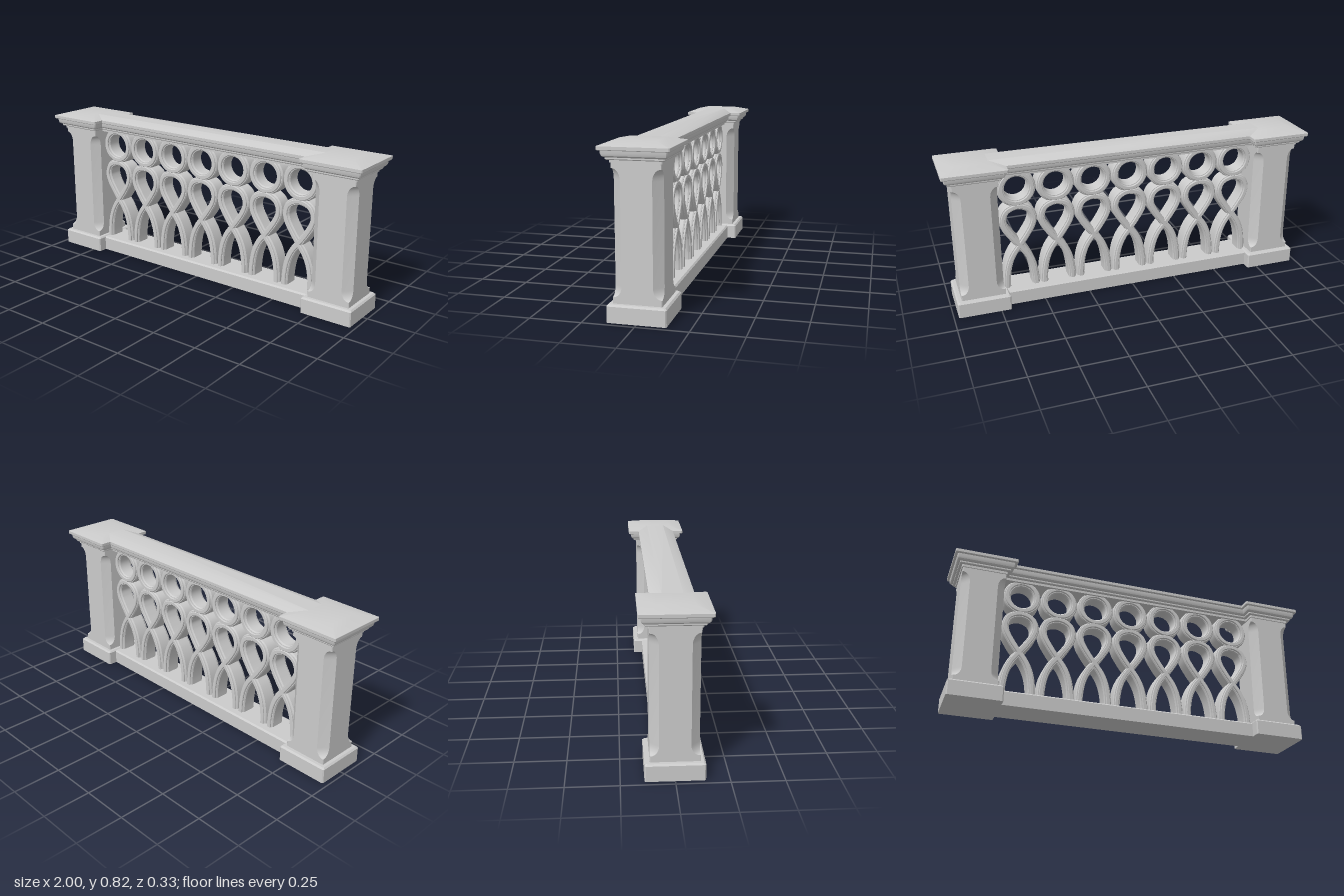
import * as THREE from 'three';
import { toCreasedNormals } from 'three/addons/utils/BufferGeometryUtils.js';

const stone = new THREE.MeshStandardMaterial({ color: 0xcccccc });

function part(name, geometry, parent, x = 0, y = 0) {
  const mesh = new THREE.Mesh(geometry, stone);
  mesh.name = name;
  mesh.position.set(x, y, 0);
  parent.add(mesh);
  return mesh;
}

// Stacks rectangles with cut corners; each level is [y, halfX, halfZ, cut].
function loft(levels) {
  const pos = [], index = [];
  for (const [y, hx, hz, c] of levels) {
    const corners = [
      [hx, hz - c], [hx, c - hz], [hx - c, -hz], [c - hx, -hz],
      [-hx, c - hz], [-hx, hz - c], [c - hx, hz], [hx - c, hz],
    ];
    for (const [x, z] of corners) pos.push(x, y, z);
  }
  const last = (levels.length - 1) * 8;
  for (let r = 0; r < last; r += 8) {
    for (let i = 0; i < 8; i++) {
      const j = (i + 1) % 8;
      index.push(r + i, r + j, r + 8 + j, r + i, r + 8 + j, r + 8 + i);
    }
  }
  for (let i = 1; i < 7; i++) index.push(0, i + 1, i, last, last + i, last + i + 1);
  const g = new THREE.BufferGeometry();
  g.setAttribute('position', new THREE.Float32BufferAttribute(pos, 3));
  g.setIndex(index);
  return toCreasedNormals(g, 0.45);
}

// Sweeps a moulded section along a curve in the xy plane, smooth along its length.
const halfSection = [
  [0.02, -0.034], [0.02, 0.034], [0.015, 0.041], [0.011, 0.041], [0.011, 0.047], [0.008, 0.05],
  [-0.008, 0.05], [-0.011, 0.047], [-0.011, 0.041], [-0.015, 0.041],
];
const section = [
  ...halfSection.slice(1), [-0.02, 0.034],
  ...halfSection.slice(1).map(([u, v]) => [-u, -v]), [0.02, -0.034],
];

function sweep(curve, steps) {
  const pos = [], normals = [], index = [];
  section.forEach((p, k) => {
    const q = section[(k + 1) % section.length];
    const eu = q[0] - p[0], ev = q[1] - p[1], len = Math.hypot(eu, ev);
    const start = pos.length / 3;
    for (let i = 0; i <= steps; i++) {
      const c = curve.getPoint(i / steps), t = curve.getTangent(i / steps);
      for (const [u, v] of [p, q]) {
        pos.push(c.x - t.y * u, c.y + t.x * u, v);
        normals.push(-t.y * ev / len, t.x * ev / len, -eu / len);
      }
      if (i < steps) {
        const a = start + i * 2;
        index.push(a, a + 1, a + 3, a, a + 3, a + 2);
      }
    }
  });
  const g = new THREE.BufferGeometry();
  g.setAttribute('position', new THREE.Float32BufferAttribute(pos, 3));
  g.setAttribute('normal', new THREE.Float32BufferAttribute(normals, 3));
  g.setIndex(index);
  return g;
}

// Shared moulding of post caps and handrail: [y, half width].
const moulding = [
  [0.725, 0.121], [0.738, 0.121], [0.738, 0.132], [0.742, 0.135], [0.749, 0.135],
  [0.751, 0.142], [0.757, 0.148], [0.766, 0.151], [0.782, 0.152], [0.782, 0.163],
  [0.785, 0.165], [0.8, 0.165],
];

function shaftLevels() {
  const levels = [[0.08, 0.115, 0.115, 0.003]], n = 8;
  // Chamfers run out in curved stops at both ends.
  const cut = t => 0.003 + 0.039 * Math.sqrt(1 - (1 - t) ** 2);
  for (let i = 0; i <= n; i++) levels.push([0.115 + 0.05 * (i / n) ** 2, 0.115, 0.115, cut((i / n) ** 2)]);
  for (let i = n; i >= 0; i--) levels.push([0.7 - 0.055 * (i / n) ** 2, 0.115, 0.115, cut((i / n) ** 2)]);
  levels.push([0.735, 0.115, 0.115, 0.003]);
  return levels;
}

export function createModel() {
  const model = new THREE.Group();
  model.name = 'balustrade';

  // End posts
  const baseGeo = loft([[0, 0.14, 0.14, 0.006], [0.077, 0.14, 0.14, 0.006], [0.085, 0.132, 0.132, 0.006]]);
  const shaftGeo = loft(shaftLevels());
  const capGeo = loft([...moulding.map(([y, w]) => [y, w, w, 0.005]), [0.82, 0.085, 0.085, 0.003]]);
  for (const [name, x] of [['leftPost', 0.835], ['rightPost', -0.835]]) {
    const post = new THREE.Group();
    post.name = name;
    post.position.x = x;
    part('postBase', baseGeo, post);
    part('postShaft', shaftGeo, post);
    part('postCap', capGeo, post);
    model.add(post);
  }

  // Rails between the posts
  part('handrail', loft([
    ...moulding.map(([y, w]) => [y, 0.75, w - 0.06, 0.002]), [0.82, 0.75, 0.05, 0.002],
  ]), model);
  part('bottomRail', loft([
    [0, 0.72, 0.09, 0.002], [0.072, 0.72, 0.09, 0.002], [0.08, 0.72, 0.082, 0.002],
  ]), model);

  // Tracery: a ring over a looped strand that crosses itself and lands on two legs
  const circle = new THREE.EllipseCurve(0, 0, 0.082, 0.082, 0, Math.PI * 2);
  const ringGeo = sweep(circle, 48);
  const rise = [[-0.079, 0.06], [-0.077, 0.13], [-0.063, 0.21], [-0.037, 0.27], [0, 0.32],
    [0.04, 0.375], [0.073, 0.432], [0.081, 0.475], [0.06, 0.522]];
  const path = [...rise, [0, 0.545], ...rise.map(([x, y]) => [-x, y]).reverse()];
  const strandGeo = sweep(new THREE.CatmullRomCurve3(path.map(([x, y]) => new THREE.Vector3(x, y, 0))), 96);
  const linkGeo = new THREE.BoxGeometry(0.05, 0.03, 0.076);
  for (let i = -3; i <= 3; i++) {
    const baluster = new THREE.Group();
    baluster.name = 'baluster';
    baluster.position.x = i * 0.205;
    part('ring', ringGeo, baluster, 0, 0.647);
    part('loopedStrand', strandGeo, baluster);
    part('link', linkGeo, baluster, 0, 0.557);
    model.add(baluster);
  }
  return model;
}
